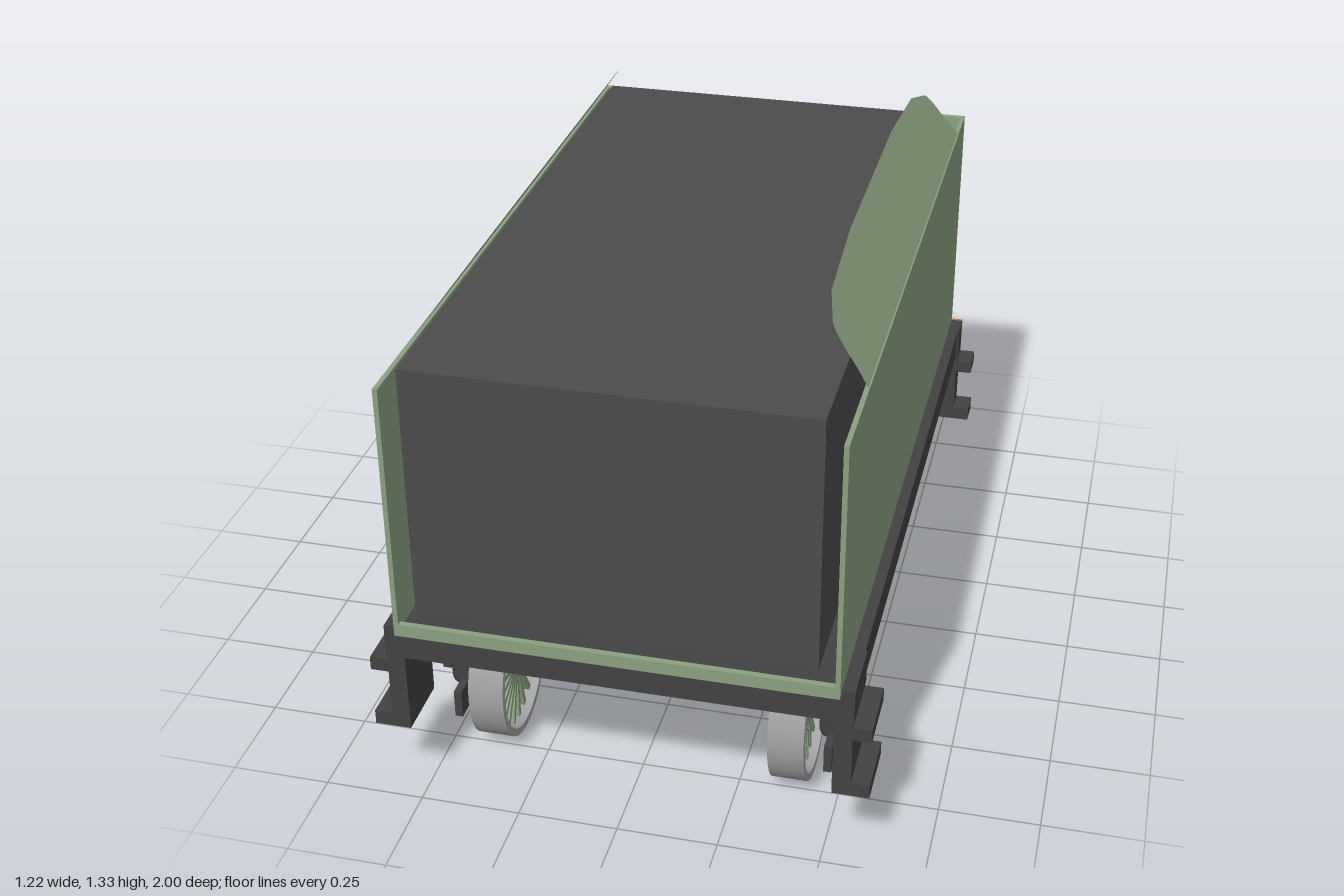
import * as THREE from 'three';
import { toCreasedNormals } from 'three/addons/utils/BufferGeometryUtils.js';
import { RoundedBoxGeometry } from 'three/addons/geometries/RoundedBoxGeometry.js';

const mat = (name, color, side = THREE.FrontSide) => {
  const m = new THREE.MeshStandardMaterial({ color, side });
  m.name = name;
  return m;
};

export function createModel() {
  const root = new THREE.Group();
  root.name = 'tender';
  const green = mat('sage green', 0x8aa080, THREE.DoubleSide);
  const dark = mat('frame black', 0x424242);
  const coal = mat('coal grey', 0x4c4c4c);
  const steel = mat('steel', 0xa2a2a2);
  const orange = mat('buffer orange', 0xc86c38);

  const add = (name, geo, material, parent = root) => {
    const m = new THREE.Mesh(geo, material);
    m.name = name;
    parent.add(m);
    return m;
  };
  // box given by its limits on each axis
  const box = (name, material, x0, x1, y0, y1, z0, z1, parent = root) => {
    const m = add(name, new THREE.BoxGeometry(x1 - x0, y1 - y0, z1 - z0), material, parent);
    m.position.set((x0 + x1) / 2, (y0 + y1) / 2, (z0 + z1) / 2);
    return m;
  };
  // box mirrored on both sides of the model
  const pair = (name, material, x0, x1, ...rest) => {
    box(name, material, x0, x1, ...rest);
    box(name, material, -x1, -x0, ...rest);
  };

  // body shell and coal load
  pair('sidePanel', green, 0.523, 0.535, 0.5, 1.155, -0.9, 1);
  box('backPanel', green, -0.535, 0.535, 0.5, 1.155, -0.905, -0.89);
  box('frontLip', green, -0.535, 0.535, 0.487, 0.52, 0.985, 1);
  box('coalLoad', coal, -0.51, 0.47, 0.5, 1.165, -0.88, 0.92);

  // inward-leaning raves above the side panels
  const rave = new THREE.Shape();
  rave.moveTo(0.75, 1.15);
  rave.quadraticCurveTo(0.73, 1.17, 0.725, 1.22);
  rave.quadraticCurveTo(0.715, 1.28, 0.69, 1.287);
  rave.lineTo(0.6, 1.315);
  rave.lineTo(0.3, 1.33);
  rave.lineTo(-0.32, 1.33);
  rave.lineTo(-0.6, 1.315);
  rave.lineTo(-0.7, 1.287);
  rave.quadraticCurveTo(-0.735, 1.28, -0.745, 1.22);
  rave.quadraticCurveTo(-0.755, 1.165, -0.785, 1.15);
  for (const s of [-1, 1]) {
    const g = new THREE.ShapeGeometry(rave, 8);
    const p = g.attributes.position;
    for (let i = 0; i < p.count; i++) {
      const z = p.getX(i), y = p.getY(i);
      p.setXYZ(i, s * (0.535 - (y - 1.15) * 0.71), y, z);
    }
    // keep the outside as the front face
    if (s > 0) {
      const a = g.index.array;
      for (let i = 0; i < a.length; i += 3) [a[i], a[i + 1]] = [a[i + 1], a[i]];
    }
    g.computeVertexNormals();
    add('sideRave', g, green);
  }

  // underframe
  box('deck', dark, -0.562, 0.562, 0.415, 0.499, -0.85, 0.85);
  box('frontBeam', dark, -0.567, 0.567, 0.413, 0.5, 0.82, 0.985);
  box('rearBeam', dark, -0.567, 0.567, 0.4, 0.5, -0.895, -0.82);
  box('rearBeamFace', orange, -0.567, 0.567, 0.4, 0.5, -0.904, -0.895);
  box('lowerTank', dark, -0.33, 0.33, 0.32, 0.416, -0.8, 0.8);
  pair('frameRail', dark, 0.465, 0.487, 0.28, 0.416, -0.82, 0.83);
  pair('lowerTieBar', dark, 0.465, 0.485, 0.09, 0.165, -0.73, 0.78);

  // corner steps
  for (const [z0, z1] of [[0.82, 0.985], [-0.895, -0.82]]) {
    pair('stepPlate', dark, 0.52, 0.565, 0.205, 0.5, z0, z1);
    pair('lowerTread', dark, 0.52, 0.61, 0.202, 0.24, z0, z1);
    pair('upperTread', dark, 0.55, 0.61, 0.365, 0.4, z0, z1);
  }

  // wheels, axles and axle boxes
  const rimShape = new THREE.Shape().absarc(0, 0, 0.192, 0, Math.PI * 2, false);
  rimShape.holes.push(new THREE.Path().absarc(0, 0, 0.172, 0, Math.PI * 2, true));
  const rimGeo = toCreasedNormals(
    new THREE.ExtrudeGeometry(rimShape, { depth: 0.09, bevelEnabled: false, curveSegments: 24 })
      .translate(0, 0, -0.045).rotateY(Math.PI / 2), 0.6);
  const spokeGeo = new THREE.BoxGeometry(0.05, 0.155, 0.014).translate(0, 0.1, 0);
  const hubGeo = new THREE.CylinderGeometry(0.036, 0.036, 0.07, 20).rotateZ(Math.PI / 2);
  const axleGeo = new THREE.CylinderGeometry(0.022, 0.022, 0.85, 16).rotateZ(Math.PI / 2);
  const boxGeo = new RoundedBoxGeometry(0.076, 0.157, 0.13, 3, 0.025);
  const spokes = 22;
  for (const z of [0.658, 0.02, -0.622]) {
    add('axle', axleGeo, steel).position.set(0, 0.195, z);
    for (const s of [-1, 1]) {
      const wheel = new THREE.Group();
      wheel.name = 'wheel';
      wheel.position.set(s * 0.38, 0.192, z);
      wheel.scale.z = 0.925;
      add('rim', rimGeo, steel, wheel);
      add('hub', hubGeo, green, wheel);
      for (let i = 0; i < spokes; i++)
        add('spoke', spokeGeo, green, wheel).rotation.x = (i / spokes) * Math.PI * 2;
      root.add(wheel);
      add('axleBox', boxGeo, dark).position.set(s * 0.477, 0.217, z);
    }
  }

  // rear buffers
  const tube = (r0, r1, z0, z1) => new THREE.CylinderGeometry(r1, r0, z0 - z1, 24)
    .rotateX(-Math.PI / 2).translate(0, 0, (z0 + z1) / 2);
  for (const s of [-1, 1]) {
    const buffer = new THREE.Group();
    buffer.name = 'buffer';
    buffer.position.set(s * 0.414, 0.425, 0);
    buffer.scale.y = 0.72;
    add('bufferHousing', tube(0.064, 0.06, -0.9, -0.94), orange, buffer);
    add('bufferNeck', tube(0.06, 0.048, -0.94, -0.974), orange, buffer);
    add('bufferRod', tube(0.018, 0.018, -0.97, -0.995), steel, buffer);
    add('bufferHead', tube(0.045, 0.066, -0.99, -1), steel, buffer);
    root.add(buffer);
  }
  return root;
}
